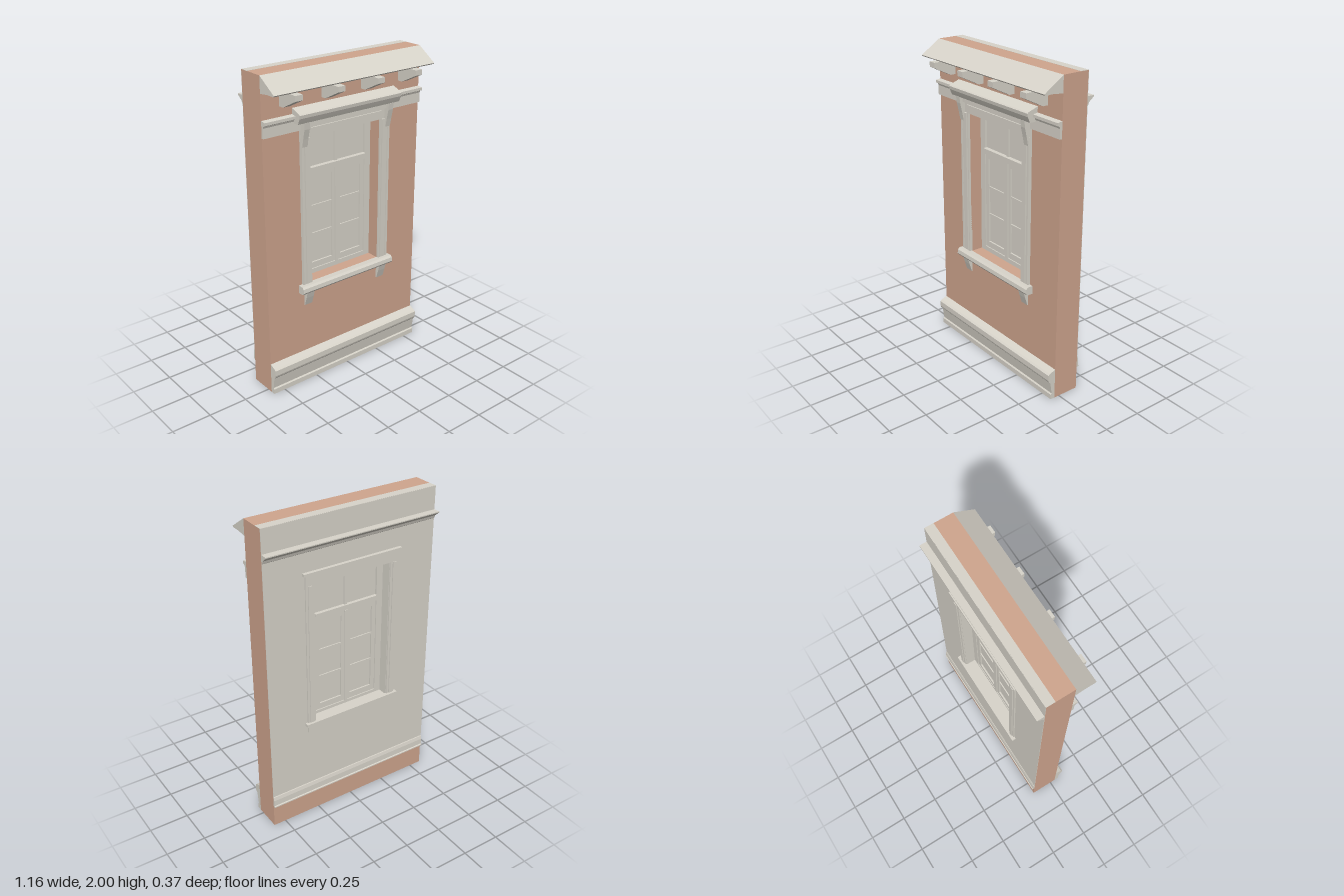
import * as THREE from 'three';

export function createModel() {
  const root = new THREE.Group();
  root.name = 'wallWithWindow';
  const cream = new THREE.MeshStandardMaterial({ color: 0xd8d4ca });
  cream.name = 'cream plaster';
  const brick = new THREE.MeshStandardMaterial({ color: 0xcfa58e });
  brick.name = 'terracotta wall';

  const W = 1.16, FRONT = 0.035, BACK = -0.14;
  const OX = 0.265, OY0 = 0.67, OY1 = 1.6; // window opening

  const add = (name, geo, mat = cream) => {
    const m = new THREE.Mesh(geo, mat);
    m.name = name;
    root.add(m);
    return m;
  };
  // box given by its two corners
  const box = (name, x0, x1, y0, y1, z0, z1, mat) => {
    const g = new THREE.BoxGeometry(x1 - x0, y1 - y0, z1 - z0);
    g.translate((x0 + x1) / 2, (y0 + y1) / 2, (z0 + z1) / 2);
    return add(name, g, mat);
  };
  // moulding: [z, y] profile swept along x
  const moulding = (name, pts, width, x = 0, mat) => {
    const s = new THREE.Shape(pts.map(p => new THREE.Vector2(p[0], p[1])));
    const g = new THREE.ExtrudeGeometry(s, { depth: width, bevelEnabled: false });
    g.rotateY(-Math.PI / 2).translate(x + width / 2, 0, 0);
    return add(name, g, mat);
  };
  // flat rectangular ring: outer and inner [x0, x1, y0, y1], between two depths
  const trace = (p, [x0, x1, y0, y1]) => {
    p.moveTo(x0, y0); p.lineTo(x1, y0); p.lineTo(x1, y1); p.lineTo(x0, y1); p.closePath();
    return p;
  };
  const ring = (name, outer, inner, z0, z1, mat) => {
    const s = trace(new THREE.Shape(), outer);
    s.holes.push(trace(new THREE.Path(), inner));
    const g = new THREE.ExtrudeGeometry(s, { depth: z1 - z0, bevelEnabled: false });
    g.translate(0, 0, z0);
    return add(name, g, mat);
  };
  const opening = [-OX, OX, OY0, OY1];

  // Wall body with plastered inner face
  ring('wall', [-W / 2, W / 2, 0, 2], opening, BACK, FRONT, brick);
  ring('innerPlaster', [-W / 2, W / 2, 0.15, 2], opening, BACK - 0.002, BACK + 0.001);
  box('wallTopPlaster', -W / 2, W / 2, 1.999, 2.001, BACK, -0.085);
  ring('innerReveal', [-OX - 0.001, OX + 0.001, OY0 - 0.001, OY1 + 0.001],
    [-OX + 0.003, OX - 0.003, OY0 + 0.003, OY1 - 0.003], BACK - 0.002, -0.07);

  // Front full-width mouldings
  moulding('eavesCornice', [[FRONT, 2], [0.165, 1.915], [0.16, 1.908], [0.1, 1.908], [FRONT, 1.9]], W);
  moulding('friezeBand', [[FRONT, 1.75], [0.068, 1.745], [0.068, 1.728], [0.055, 1.722],
    [0.05, 1.71], [0.05, 1.65], [FRONT, 1.65]], W);
  moulding('plinth', [[FRONT, 0], [0.065, 0], [0.065, 0.032], [0.058, 0.04], [0.07, 0.115],
    [0.082, 0.128], [0.086, 0.14], [0.086, 0.175], [0.075, 0.185], [FRONT, 0.2]], W);
  for (const x of [-0.435, -0.145, 0.145, 0.435]) {
    moulding('eavesBracket', [[FRONT, 1.902], [0.187, 1.9], [0.187, 1.868], [0.07, 1.81], [FRONT, 1.81]], 0.05, x);
  }

  // Back full-width mouldings
  moulding('innerCornice', [[BACK, 1.8], [-0.146, 1.805], [-0.152, 1.822], [-0.17, 1.836],
    [-0.187, 1.85], [-0.187, 1.856], [BACK, 1.856]], W);
  moulding('innerSkirting', [[BACK, 0.15], [-0.156, 0.15], [-0.156, 0.157], [-0.151, 0.162],
    [-0.15, 0.2], [-0.145, 0.222], [BACK, 0.23]], W);

  // Outer window surround
  for (const s of [-1, 1]) {
    const side = (name, a, b, y0, y1, z1) =>
      box(name, Math.min(s * a, s * b), Math.max(s * a, s * b), y0, y1, FRONT - 0.005, z1);
    side('casingSide', OX, 0.33, 0.67, 1.65, 0.05);
    side('casingRib', 0.272, 0.308, 0.68, 1.6, 0.06);
    side('casingEdge', 0.316, 0.33, 0.68, 1.6, 0.058);
    moulding('hoodConsole', [[FRONT, 1.7], [0.09, 1.7], [0.086, 1.66], [0.072, 1.6], [0.062, 1.55],
      [FRONT, 1.55]], 0.037, s * 0.311);
    moulding('sillCorbel', [[FRONT, 0.625], [0.07, 0.625], [0.058, 0.58], [0.04, 0.525],
      [FRONT, 0.525]], 0.055, s * 0.288);
  }
  box('casingHead', -OX, OX, OY1, 1.7, FRONT - 0.005, 0.052);
  box('casingHeadFillet', -OX, OX, 1.64, 1.655, FRONT, 0.06);
  box('casingHeadUpper', -0.3, 0.3, 1.668, 1.7, FRONT, 0.068);
  moulding('windowHood', [[FRONT, 1.785], [0.1, 1.762], [0.107, 1.755], [0.104, 1.735], [0.095, 1.715],
    [0.088, 1.7], [FRONT, 1.7]], 0.75);
  moulding('windowSill', [[FRONT, 0.672], [0.072, 0.672], [0.083, 0.66], [0.086, 0.635], [0.08, 0.625],
    [0.07, 0.62], [FRONT, 0.62]], 0.71);

  // Inner window surround
  for (const s of [-1, 1]) {
    const a = Math.min(s * OX, s * 0.32), b = Math.max(s * OX, s * 0.32);
    box('innerCasingSide', a, b, 0.67, 1.6, -0.15, BACK);
    box('innerCasingRib', a + 0.015, b - 0.015, 0.69, 1.6, -0.156, BACK);
  }
  box('innerCasingHead', -0.32, 0.32, OY1, 1.67, -0.152, BACK);
  box('innerCasingCap', -0.335, 0.335, 1.668, 1.684, -0.164, BACK);
  box('innerSill', -0.335, 0.335, 0.67, 0.688, -0.168, BACK);
  box('innerApron', -0.32, 0.32, 0.62, 0.67, -0.152, BACK);
  box('innerSillBoard', -OX, OX, 0.672, 0.68, BACK, -0.07);

  // Window frame, transom and mullions
  const ZF = -0.045, ZB = -0.08;
  ring('windowFrame', opening, [-0.22, 0.22, 0.7, 1.56], ZB, ZF);
  box('transom', -0.22, 0.22, 1.335, 1.372, ZB, ZF + 0.008);
  box('transomDrip', -0.215, 0.215, 1.355, 1.372, ZB - 0.008, ZF + 0.014);
  box('upperMullion', -0.01, 0.01, 1.372, 1.56, ZB + 0.004, ZF - 0.004);
  box('windowPane', -0.222, 0.222, 0.7, 1.56, -0.066, -0.06);

  // Paired casement sashes with glazing bars
  for (const s of [-1, 1]) {
    const r = (a, b, y0, y1) => [Math.min(s * a, s * b), Math.max(s * a, s * b), y0, y1];
    ring('sash', r(0.005, 0.218, 0.702, 1.333), r(0.032, 0.19, 0.742, 1.305), ZB + 0.004, ZF - 0.004);
    for (const y of [0.932, 1.115]) {
      const [x0, x1] = r(0.032, 0.19, 0, 0);
      box('glazingBar', x0, x1, y - 0.007, y + 0.007, ZB + 0.007, ZF - 0.007);
    }
  }
  box('meetingStile', -0.012, 0.012, 0.702, 1.335, ZB - 0.003, ZF + 0.003);

  return root;
}
